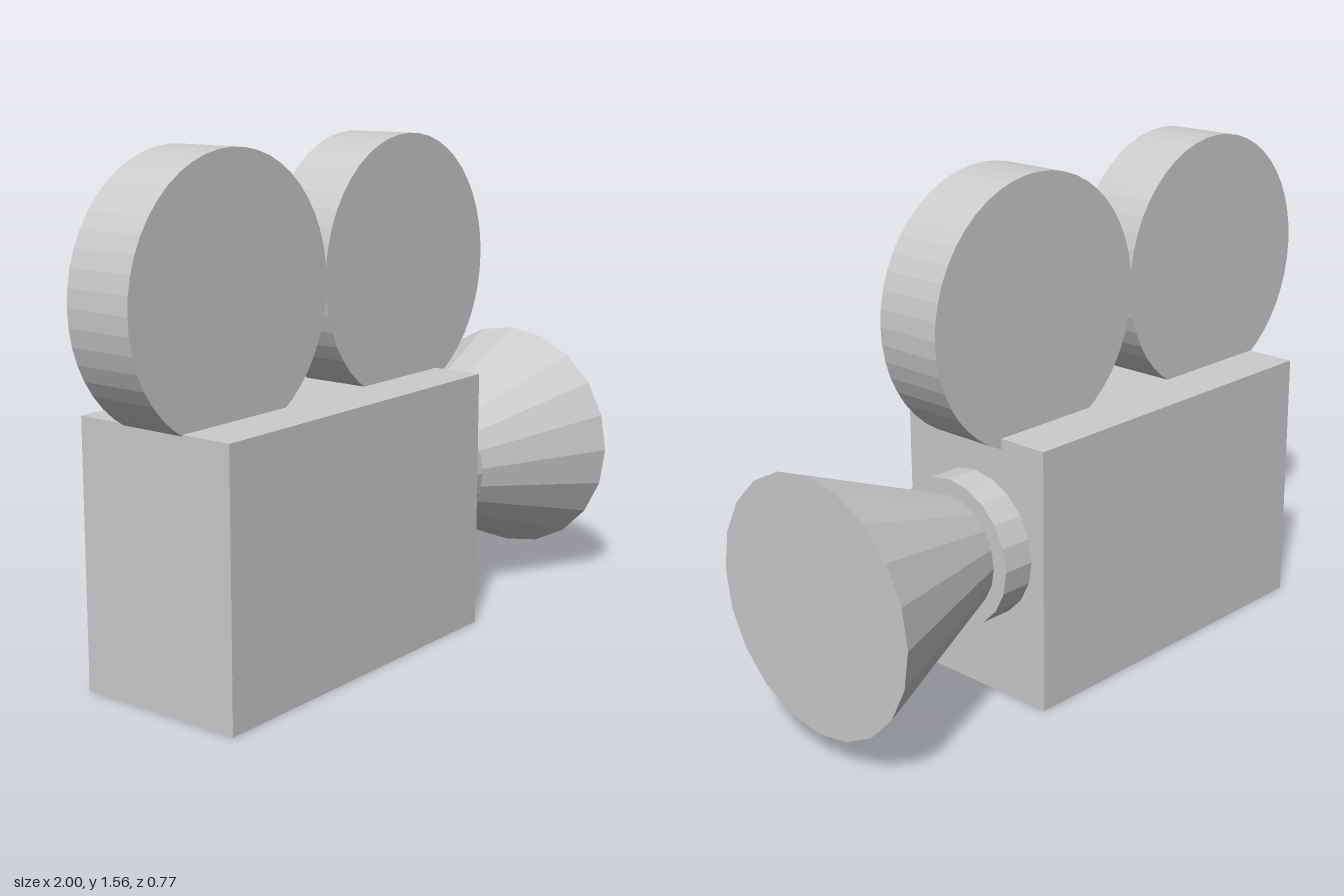
import * as THREE from 'three';

const material = new THREE.MeshStandardMaterial({ color: 0xcccccc, flatShading: true });

export function createModel() {
  const group = new THREE.Group();

  function add(name, geometry, x, y, z = 0) {
    const mesh = new THREE.Mesh(geometry, material);
    mesh.name = name;
    mesh.position.set(x, y, z);
    group.add(mesh);
  }

  // Camera body
  add('body', new THREE.BoxGeometry(1.18, 0.815, 0.55), -0.215, 0.4075);

  // Two film reels, slightly sunk into the body and just touching each other
  const reels = [['rearReel', -0.593], ['frontReel', 0.217]];
  for (const [name, x] of reels) {
    const reel = new THREE.CylinderGeometry(0.407, 0.407, 0.22, 48).rotateX(Math.PI / 2);
    add(name, reel, x, 1.157);
  }

  // Lens parts lie along x, with the first radius at the +x end
  function lensPart(name, rFront, rBack, x0, x1) {
    const geometry = new THREE.CylinderGeometry(rFront, rBack, x1 - x0, 20).rotateZ(-Math.PI / 2);
    add(name, geometry, (x0 + x1) / 2, 0.465);
  }
  lensPart('lensCollar', 0.227, 0.227, 0.36, 0.48);
  lensPart('lensHood', 0.385, 0.178, 0.48, 1.0);

  return group;
}
